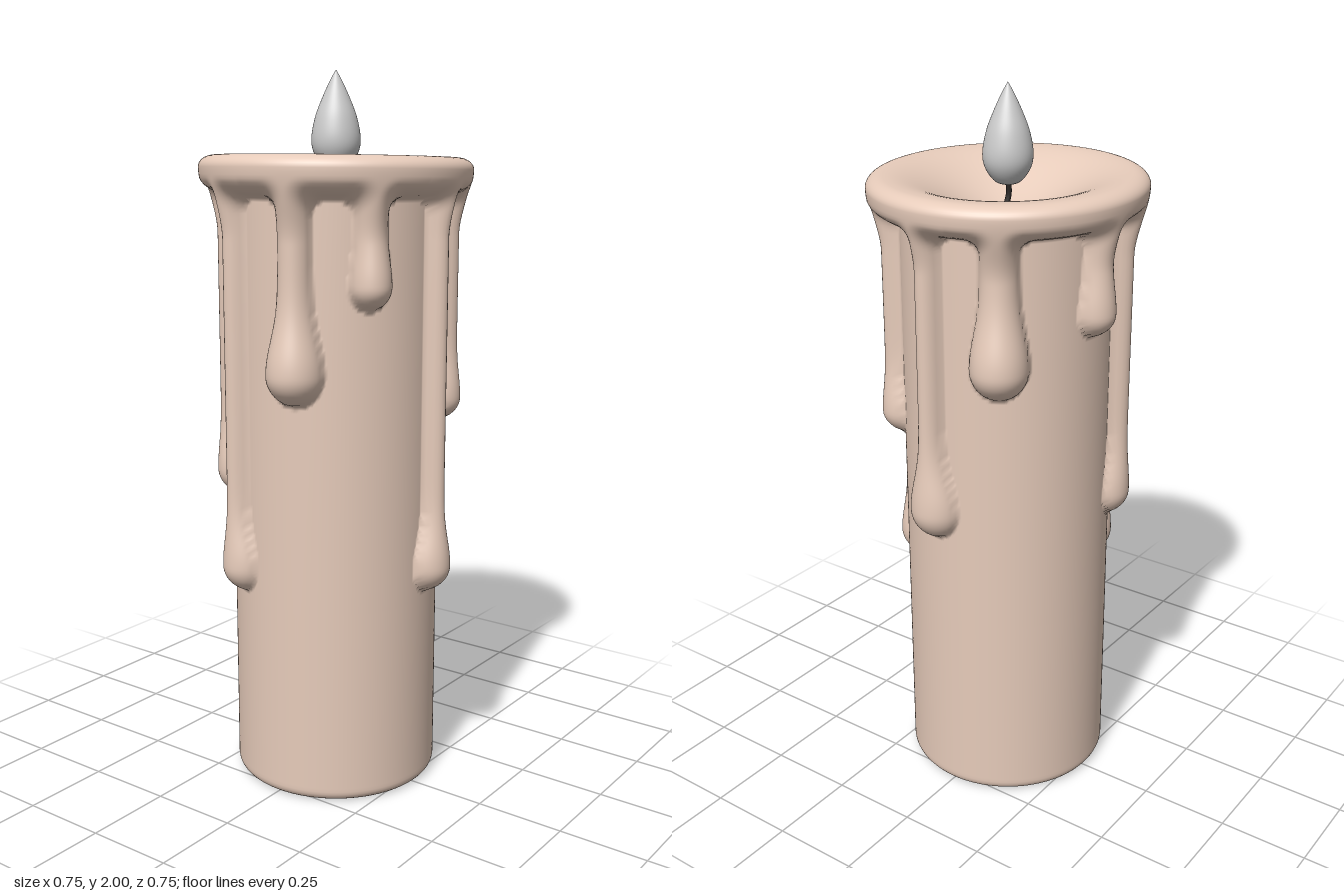
import * as THREE from 'three';

const SEG = 300, R = 0.29;
const { smoothstep, lerp, clamp } = THREE.MathUtils;

// Wax drips: angle from the front (degrees), lowest y, bulb half-width, neck half-width, bulb thickness
const DRIPS = [
  [7, 0.58, 0.072, 0.034, 0.068],
  [37, 1.04, 0.062, 0.035, 0.062],
  [83, 0.81, 0.082, 0.038, 0.068],
  [121, 1.24, 0.085, 0.055, 0.09],
  [175, 1.38, 0.062, 0.045, 0.062],
  [204, 0.81, 0.07, 0.038, 0.06],
  [245, 0.58, 0.072, 0.036, 0.062],
  [285, 1.13, 0.085, 0.05, 0.086],
  [324, 1.385, 0.062, 0.048, 0.066],
];

function smoothMin(a, b, k) {
  const h = clamp(0.5 + 0.5 * (b - a) / k, 0, 1);
  return lerp(b, a, h) - k * h * (1 - h);
}

// Thickness of the melted wax on the side of the candle at an angle and height
function waxThickness(angle, y) {
  let edge = 1.665 - y;              // signed distance to the outline of the melted area
  let nearest = Infinity, width = 0.04, thick = 0.05;
  for (const [deg, bottom, bulb, neck, bulbThick] of DRIPS) {
    let da = angle - THREE.MathUtils.degToRad(deg);
    da = Math.atan2(Math.sin(da), Math.cos(da));
    const u = da * 0.32, dy = y - (bottom + bulb);
    const swell = dy > 0 ? Math.exp(-((dy / (bulb * 1.5)) ** 2)) : 1;
    const w = lerp(neck, bulb, swell);
    const d = dy > 0 ? Math.abs(u) - w : Math.hypot(u, dy) - bulb;
    if (d < nearest) {
      nearest = d;
      width = w;
      thick = lerp(0.05, bulbThick, swell);
    }
    edge = smoothMin(edge, d, 0.045);
  }
  const rim = smoothstep(y, 1.56, 1.74);
  width = lerp(width, 0.05, rim);
  thick = lerp(thick, 0.085, rim);
  const t = clamp(-edge / width, 0, 1);
  return thick * Math.pow(1 - (1 - t) ** 2, 0.65);
}

// Rows of the candle from the centre of the base, up the side, over the rim and into the bowl
function candleRows() {
  const rows = [[0, 0], [0.15, 0], [0.25, 0], [0.258, 0]];
  for (let i = 1; i <= 6; i++) {
    const p = i / 6 * Math.PI / 2;
    rows.push([0.26 + 0.03 * Math.sin(p), 0.03 - 0.03 * Math.cos(p)]);
  }
  rows.push([R, 0.04], [R, 0.3], [R, 0.55]);
  for (let i = 1; i <= 125; i++) rows.push([R, 0.55 + 1.19 * i / 125, true]);
  for (let i = 1; i <= 9; i++) {
    const p = i / 9 * Math.PI / 2;
    rows.push([0.33 + 0.045 * Math.cos(p), 1.74 + 0.032 * Math.sin(p)]);
  }
  for (let i = 23; i >= 0; i--) {
    const s = i / 24;
    rows.push([0.33 * s, 1.66 + 0.112 * smoothstep(s, 0, 1)]);
  }
  return rows;
}

function candleGeometry() {
  const rows = candleRows(), pos = [], index = [];
  rows.forEach(([r, y, waxed], j) => {
    for (let i = 0; i < SEG; i++) {
      const a = i / SEG * Math.PI * 2;
      const radius = waxed ? r + waxThickness(a, y) : r;
      // the rim is slightly uneven, highest on one side
      const tilt = 0.012 * Math.cos(a - 5) * smoothstep(y, 1.55, 1.75) * Math.min(1, radius / 0.33);
      pos.push(radius * Math.sin(a), y + tilt, radius * Math.cos(a));
      if (j === 0) continue;
      const n = (i + 1) % SEG, lo = (j - 1) * SEG, hi = j * SEG;
      if (j > 1) index.push(lo + i, lo + n, hi + n);
      if (j < rows.length - 1) index.push(lo + i, hi + n, hi + i);
    }
  });
  const g = new THREE.BufferGeometry();
  g.setAttribute('position', new THREE.Float32BufferAttribute(pos, 3));
  g.setIndex(index);
  g.computeVertexNormals();
  return g;
}

export function createModel() {
  const group = new THREE.Group();
  group.name = 'candle';
  const add = (name, geometry, color) => {
    const mesh = new THREE.Mesh(geometry, new THREE.MeshStandardMaterial({ color }));
    mesh.name = name;
    group.add(mesh);
  };

  // Wax body with melted rim, drips and bowl
  add('waxBody', candleGeometry(), 0xe6cbba);

  // Wick, slightly bent
  const wick = new THREE.CatmullRomCurve3([
    new THREE.Vector3(0.004, 1.64, 0),
    new THREE.Vector3(0.003, 1.68, 0.003),
    new THREE.Vector3(-0.004, 1.71, 0),
    new THREE.Vector3(0, 1.76, 0),
  ]);
  add('wick', new THREE.TubeGeometry(wick, 12, 0.008, 10), 0x2a2624);

  // Teardrop flame
  const outline = new THREE.SplineCurve([
    [0, 1.735], [0.034, 1.745], [0.06, 1.78], [0.067, 1.82], [0.057, 1.875],
    [0.038, 1.925], [0.017, 1.97], [0, 2],
  ].map(([x, y]) => new THREE.Vector2(x, y)));
  const profile = outline.getPoints(36).map(p => new THREE.Vector2(Math.max(0, p.x), p.y));
  add('flame', new THREE.LatheGeometry(profile, 48), 0xcccccc);

  return group;
}
